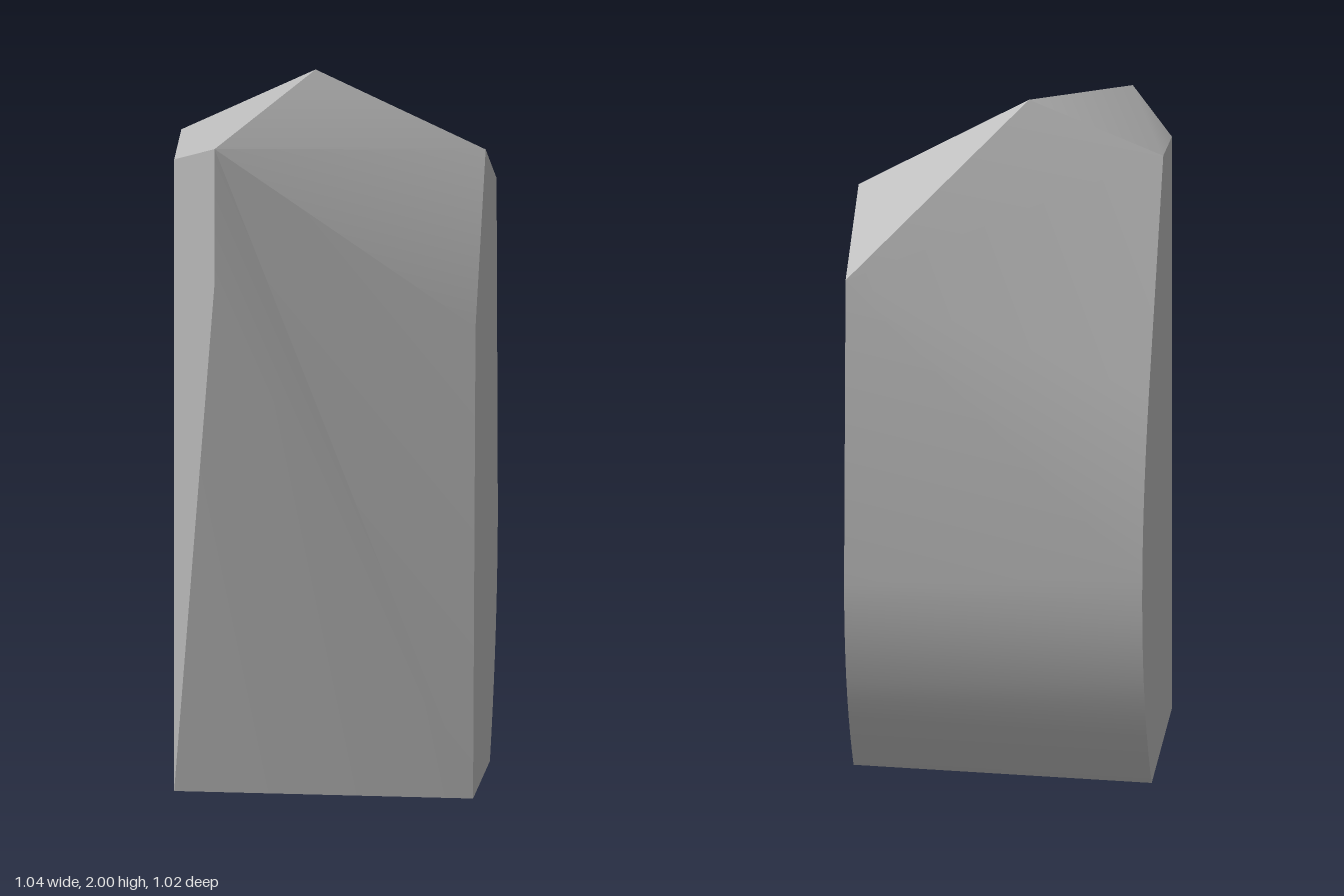
import * as THREE from 'three';
import { toCreasedNormals } from 'three/addons/utils/BufferGeometryUtils.js';
import { ConvexGeometry } from 'three/addons/geometries/ConvexGeometry.js';

// The two parallel flat ends: t runs from the front edge (0) to the back bulge (1)
const rightEnd = (t, y) => new THREE.Vector3(0.11 + 0.41 * t, y, 0.51 - 0.49 * t);
const leftEnd = (t, y) => new THREE.Vector3(-0.525 + 0.41 * t, y, -0.02 - 0.49 * t);

// Bulging back profile, widest at y = 0.68
const WIDEST = 0.68;
const bulge = (y) => 1 - 0.32 * ((y - WIDEST) / WIDEST) ** 2;

export function createModel() {
  const stone = new THREE.MeshStandardMaterial({ color: 0xb8b8b8 });
  stone.name = 'grey stone';

  const points = [
    // right end: front edge, shoulder, top corners
    rightEnd(0, 0), rightEnd(0.1, 1.32), rightEnd(0.51, 1.76), rightEnd(0.95, 1.61),
    // left end: front edge and top corners
    leftEnd(0, 0), leftEnd(0, 1.79), leftEnd(0.29, 1.83),
    // front left corner and peak
    new THREE.Vector3(-0.525, 1.48, 0.18),
    new THREE.Vector3(-0.525, 1.86, 0.18),
    new THREE.Vector3(-0.1, 2, 0.045),
  ];

  // Curved back: the left end keeps curving above the widest height
  const steps = 10;
  for (let i = 0; i <= steps; i++) {
    const y = (WIDEST * i) / steps;
    points.push(rightEnd(bulge(y), y), leftEnd(bulge(y), y));
  }
  for (let i = 1; i <= 8; i++) {
    const y = WIDEST + (0.57 * i) / 8;
    points.push(leftEnd(bulge(y), y));
  }

  const boulder = new THREE.Mesh(toCreasedNormals(new ConvexGeometry(points), 0.55), stone);
  boulder.name = 'boulder';

  const group = new THREE.Group();
  group.name = 'standingStone';
  group.add(boulder);
  return group;
}
